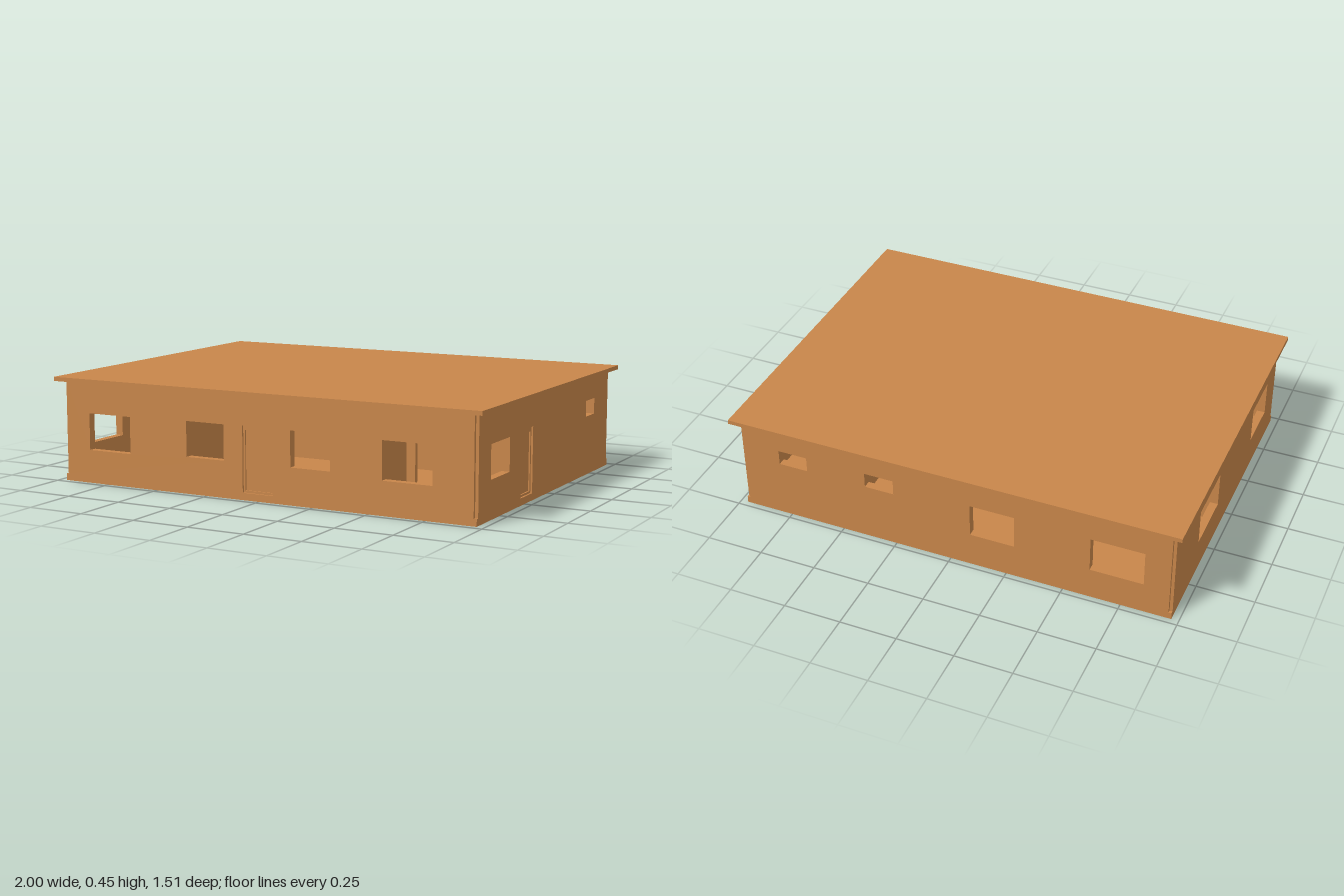
import * as THREE from 'three';

const clay = new THREE.MeshStandardMaterial({ color: 0xc8864a });
clay.name = 'clay';

const FLOOR = 0.03, EAVES = 0.435, WALL = 0.035, PARTITION = 0.02;
const HALF_X = 0.968, HALF_Z = 0.725, NOTCH = 0.013;

function box(group, name, x0, x1, y0, y1, z0, z1) {
  const mesh = new THREE.Mesh(new THREE.BoxGeometry(x1 - x0, y1 - y0, z1 - z0), clay);
  mesh.position.set((x0 + x1) / 2, (y0 + y1) / 2, (z0 + z1) / 2);
  mesh.name = name;
  group.add(mesh);
}

// Upright wall from u = a to b, with openings [u0, u1, y0, y1].
// Along 'x' it fills z = at .. at + thick, along 'z' it fills x = at - thick .. at.
function wall(group, name, along, a, b, at, thick, openings = []) {
  const shape = new THREE.Shape();
  shape.moveTo(a, FLOOR).lineTo(b, FLOOR).lineTo(b, EAVES).lineTo(a, EAVES).closePath();
  for (const [u0, u1, y0, y1] of openings) {
    const hole = new THREE.Path();
    hole.moveTo(u0, y0).lineTo(u0, y1).lineTo(u1, y1).lineTo(u1, y0).closePath();
    shape.holes.push(hole);
  }
  const geo = new THREE.ExtrudeGeometry(shape, { depth: thick, bevelEnabled: false });
  if (along === 'z') geo.rotateY(-Math.PI / 2).translate(at, 0, 0);
  else geo.translate(0, 0, at);
  const mesh = new THREE.Mesh(geo, clay);
  mesh.name = name;
  group.add(mesh);
}

// Door with frame, facing +z at its local origin
function door(name, width, height) {
  const g = new THREE.Group();
  g.name = name;
  const w = width / 2, f = 0.009, top = FLOOR + height;
  for (const s of [-1, 1])
    box(g, 'doorJamb', s > 0 ? w - f : -w, s > 0 ? w : -w + f, FLOOR, top, -0.03, -0.008);
  box(g, 'doorHead', -w + f, w - f, top - 0.02, top, -0.03, -0.008);
  box(g, 'doorSill', -w + f, w - f, FLOOR, FLOOR + 0.01, -0.03, -0.008);
  box(g, 'doorLeaf', -w + f, w - f, FLOOR + 0.01, top - 0.02, -0.027, -0.014);
  return g;
}

export function createModel() {
  const house = new THREE.Group();
  house.name = 'house';

  // Slab and flat overhanging roof
  box(house, 'floorSlab', -HALF_X, HALF_X, 0, FLOOR, -HALF_Z, HALF_Z);
  box(house, 'roof', -1, 1, EAVES, 0.453, -0.757, 0.757);

  // Outer walls, stopping short so each corner has a small notch
  const ex = HALF_X - NOTCH, ez = HALF_Z - NOTCH;
  wall(house, 'frontWall', 'x', -ex, ex, HALF_Z - WALL, WALL, [
    [-0.84, -0.63, 0.143, 0.302], [-0.347, -0.165, 0.156, 0.307],
    [-0.075, 0.07, FLOOR + 0.0005, 0.31],
    [0.15, 0.332, 0.156, 0.307], [0.562, 0.78, 0.141, 0.302],
  ]);
  wall(house, 'backWall', 'x', -ex, ex, -HALF_Z, WALL, [
    [-0.845, -0.615, 0.143, 0.302], [-0.286, -0.09, 0.156, 0.307],
    [0.255, 0.386, 0.262, 0.33], [0.657, 0.788, 0.262, 0.33],
  ]);
  wall(house, 'rightWall', 'z', -ez, ez, HALF_X, WALL, [
    [0.41, 0.596, 0.16, 0.3], [0.17, 0.292, FLOOR + 0.0005, 0.307],
    [-0.543, -0.44, 0.26, 0.33],
  ]);
  wall(house, 'leftWall', 'z', -ez, ez, -HALF_X + WALL, WALL, [
    [-0.396, -0.13, 0.145, 0.302], [0.357, 0.58, 0.145, 0.302],
  ]);

  // Outside doors
  const frontDoor = door('frontDoor', 0.145, 0.28);
  frontDoor.position.set(-0.0025, 0, HALF_Z);
  const sideDoor = door('sideDoor', 0.122, 0.277);
  sideDoor.rotation.y = Math.PI / 2;
  sideDoor.position.set(HALF_X, 0, 0.231);
  house.add(frontDoor, sideDoor);

  // Room partitions with doorways
  const ix = HALF_X - WALL, iz = HALF_Z - WALL, low = FLOOR + 0.0005, high = 0.29;
  wall(house, 'frontRoomPartition', 'x', 0.46, ix, 0.32, PARTITION, [[0.52, 0.65, low, high]]);
  wall(house, 'leftRoomPartition', 'x', -ix, -0.4, 0.08, PARTITION);
  wall(house, 'spinePartition', 'x', -ix, ix, -0.1, PARTITION,
    [[-0.57, -0.45, low, high], [0.46, 0.58, low, high]]);
  wall(house, 'leftCrossPartition', 'z', 0.08, iz, -0.4, PARTITION, [[0.14, 0.26, low, high]]);
  wall(house, 'rightCrossPartition', 'z', 0.32, iz, 0.48, PARTITION);
  for (const x of [-0.4, 0.16, 0.52])
    wall(house, 'backCrossPartition', 'z', -iz, -0.1, x, PARTITION);

  return house;
}
